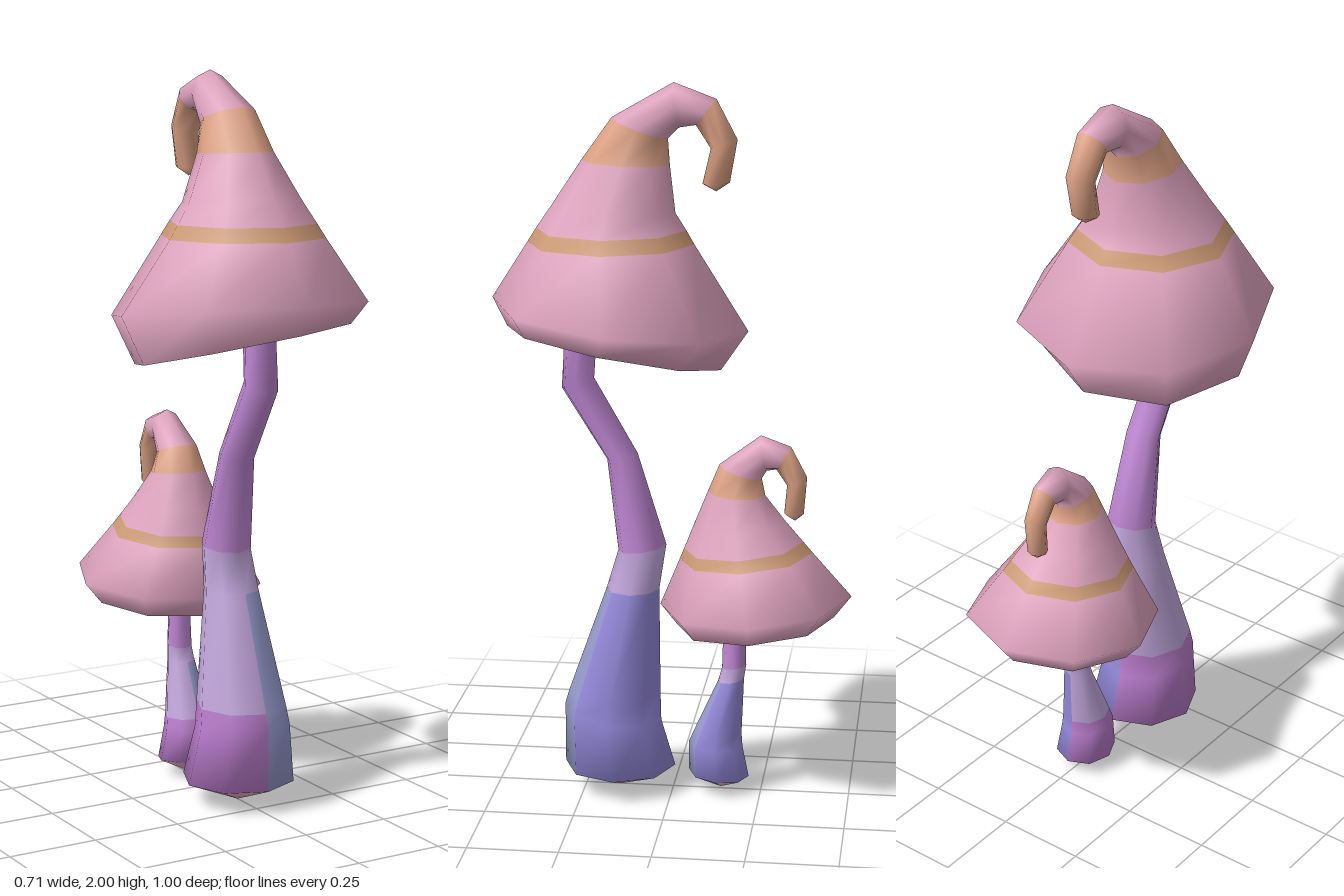
import * as THREE from 'three';

const mat = (name, color) => {
  const m = new THREE.MeshStandardMaterial({ color });
  m.name = name;
  return m;
};

const SIDES = 8;

// Lofts eight-sided rings. Each ring is [front z, front y, back z, back y, half width, sideways tilt].
// pick(band, sector) chooses the material; sector 0 starts at the front and runs towards +x.
function loft(name, rings, pick) {
  const positions = [];
  for (const [zf, yf, zb, yb, w, tilt = 0] of rings) {
    for (let k = 0; k < SIDES; k++) {
      const a = (k / SIDES) * Math.PI * 2;
      const x = w * Math.sin(a);
      const c = Math.cos(a) / 2;
      positions.push(x, (yf + yb) / 2 + (yf - yb) * c + tilt * x, (zf + zb) / 2 + (zf - zb) * c);
    }
  }
  const byMaterial = new Map();
  for (let i = 0; i < rings.length - 1; i++) {
    for (let k = 0; k < SIDES; k++) {
      const m = pick(i, k);
      if (!byMaterial.has(m)) byMaterial.set(m, []);
      const a = i * SIDES + k, b = i * SIDES + (k + 1) % SIDES;
      const list = byMaterial.get(m);
      if (rings[i][4] > 0) list.push(a, b, b + SIDES);
      if (rings[i + 1][4] > 0) list.push(a, b + SIDES, a + SIDES);
      if (rings[i][4] > 0 && rings[i + 1][4] === 0) list.splice(-3, 3, a, b, b + SIDES);
    }
  }
  const geometry = new THREE.BufferGeometry();
  geometry.setAttribute('position', new THREE.Float32BufferAttribute(positions, 3));
  const index = [], materials = [];
  for (const [m, list] of byMaterial) {
    geometry.addGroup(index.length, list.length, materials.length);
    index.push(...list);
    materials.push(m);
  }
  geometry.setIndex(index);
  geometry.computeVertexNormals();
  const mesh = new THREE.Mesh(geometry, materials);
  mesh.name = name;
  return mesh;
}

export function createModel() {
  const pink = mat('cap pink', 0xdda2bd);
  const orange = mat('orange band', 0xdba083);
  const tan = mat('tan stripe', 0xcb9873);
  const orchid = mat('stem orchid', 0xbf87d3);
  const magenta = mat('stem foot purple', 0xb87bca);
  const lavender = mat('stem lavender', 0xc2a6dc);
  const blue = mat('stem blue violet', 0x9489da);
  const greyBlue = mat('stem grey blue', 0x969bcd);
  const gill = mat('gill grey', 0xb9abc6);
  const gillCore = mat('gill purple', 0x957fb0);

  // Patchwork colours of a stem, from foot to top
  const stemColour = (band, k) => {
    const left = k < SIDES / 2;
    if (band === 0) return k < 2 ? blue : pink;
    if (band <= 3) {
      if (left) return k === 0 ? greyBlue : blue;
      return band === 3 ? lavender : magenta;
    }
    if (band === 4) return lavender;
    return band === 8 ? orange : orchid;
  };

  // Cap colours from the lower lip to the tip of the curl
  const capBands = [pink, pink, tan, pink, pink, orange, pink, pink, orange, orange, orange];
  const capColour = (band) => capBands[band];
  const gillColour = (band) => (band === 0 ? gillCore : gill);

  function mushroom(name, stem, cap, gills) {
    const g = new THREE.Group();
    g.name = name;
    g.add(loft('stem', stem, stemColour));
    g.add(loft('cap', cap, capColour));
    g.add(loft('gills', [...gills, cap[0]], gillColour));
    return g;
  }

  const model = new THREE.Group();
  model.name = 'mushrooms';

  model.add(mushroom('tallMushroom',
    [
      [0.15, 0, 0.15, 0, 0],
      [0.31, 0.065, -0.005, 0.065, 0.157],
      [0.31, 0.24, 0.035, 0.2, 0.132],
      [0.298, 0.28, 0.037, 0.28, 0.125],
      [0.188, 0.59, 0.04, 0.59, 0.08],
      [0.155, 0.7, 0.02, 0.72, 0.07],
      [0.185, 0.96, 0.1, 0.98, 0.052],
      [0.31, 1.16, 0.22, 1.19, 0.048],
      [0.3, 1.33, 0.21, 1.33, 0.045],
      [0.29, 1.5, 0.2, 1.5, 0.045],
    ],
    [
      [0.46, 1.33, -0.13, 1.22, 0.3, 0.12],
      [0.5, 1.41, -0.205, 1.33, 0.356],
      [0.4, 1.565, -0.057, 1.565, 0.225],
      [0.376, 1.603, -0.035, 1.603, 0.2],
      [0.33, 1.67, -0.005, 1.65, 0.16],
      [0.25, 1.79, 0.01, 1.78, 0.097],
      [0.167, 1.905, 0.015, 1.85, 0.075],
      [0, 2, -0.015, 1.88, 0.055],
      [-0.115, 1.957, -0.06, 1.887, 0.045],
      [-0.172, 1.85, -0.1, 1.825, 0.04],
      [-0.152, 1.735, -0.078, 1.73, 0.036],
      [-0.115, 1.71, -0.115, 1.71, 0],
    ],
    [
      [0.22, 1.43, 0.22, 1.43, 0],
      [0.35, 1.4, 0.03, 1.36, 0.16],
    ]));

  model.add(mushroom('smallMushroom',
    [
      [-0.135, 0.005, -0.135, 0.005, 0],
      [-0.045, 0.055, -0.215, 0.04, 0.085],
      [-0.045, 0.14, -0.197, 0.13, 0.072],
      [-0.06, 0.175, -0.194, 0.17, 0.066],
      [-0.127, 0.325, -0.2, 0.335, 0.042],
      [-0.138, 0.365, -0.206, 0.375, 0.037],
      [-0.14, 0.45, -0.205, 0.45, 0.033],
      [-0.14, 0.5, -0.202, 0.5, 0.031],
      [-0.14, 0.53, -0.2, 0.53, 0.03],
      [-0.14, 0.64, -0.2, 0.64, 0.03],
    ],
    [
      [-0.01, 0.487, -0.45, 0.524, 0.22],
      [0.037, 0.545, -0.498, 0.587, 0.27],
      [-0.018, 0.68, -0.388, 0.71, 0.18],
      [-0.03, 0.71, -0.362, 0.74, 0.16],
      [-0.057, 0.78, -0.31, 0.8, 0.122],
      [-0.097, 0.88, -0.255, 0.87, 0.08],
      [-0.128, 0.955, -0.245, 0.918, 0.058],
      [-0.242, 1.04, -0.258, 0.94, 0.044],
      [-0.325, 1.01, -0.285, 0.945, 0.035],
      [-0.37, 0.925, -0.315, 0.9, 0.031],
      [-0.362, 0.82, -0.308, 0.82, 0.028],
      [-0.338, 0.8, -0.338, 0.8, 0],
    ],
    [
      [-0.19, 0.6, -0.19, 0.6, 0],
      [-0.09, 0.565, -0.34, 0.585, 0.125],
    ]));

  return model;
}
